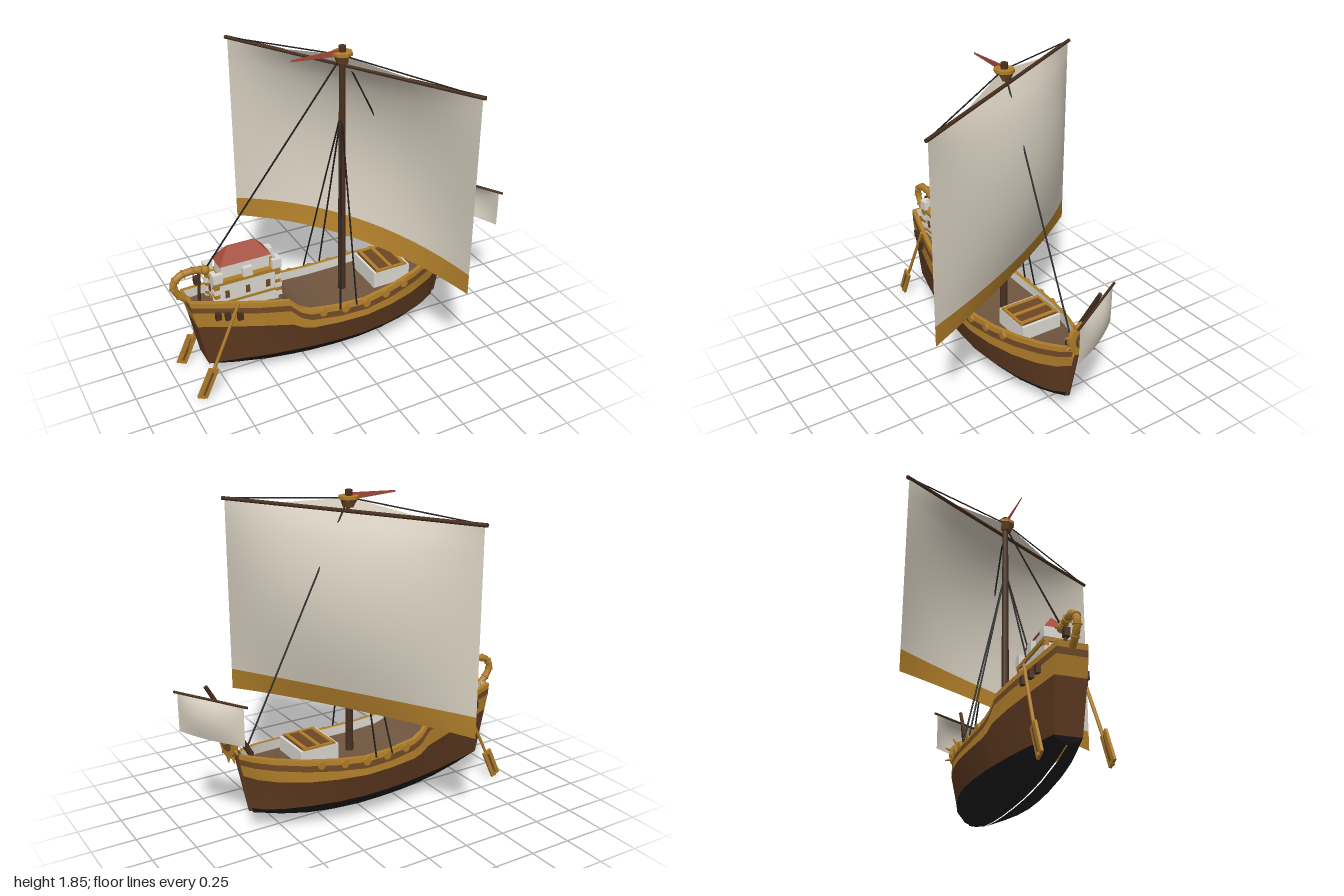
import * as THREE from 'three';
import { toCreasedNormals } from 'three/addons/utils/BufferGeometryUtils.js';

const V = (x, y, z) => new THREE.Vector3(x, y, z);
const mat = (name, color, side = THREE.FrontSide) =>
  Object.assign(new THREE.MeshStandardMaterial({ color, side }), { name });

export function createModel() {
  const D = THREE.DoubleSide;
  const gold = mat('gold wood', 0xb07e2a, D), hullBrown = mat('hull brown', 0x5f3a20),
    dark = mat('dark wood', 0x49301f), black = mat('tar black', 0x1e1e1e),
    deckMat = mat('deck planks', 0x705640, D), canvas = mat('canvas', 0xd6cebf, D),
    white = mat('white wall', 0xdcd9d0, D), red = mat('red', 0xa64a3a, D), trim = mat('trim brown', 0x6f4724);
  const ship = new THREE.Group();
  ship.name = 'sailingShip';

  const add = (name, geo, m, x = 0, y = 0, z = 0) => {
    const mesh = new THREE.Mesh(geo, m);
    mesh.name = name;
    mesh.position.set(x, y, z);
    ship.add(mesh);
    return mesh;
  };
  const box = (name, m, x, y, z, w, h, d) => add(name, new THREE.BoxGeometry(w, h, d), m, x, y, z);
  // Round bar between two points
  const bar = (name, m, a, b, r0, r1 = r0, sides = 8) => {
    const dir = b.clone().sub(a);
    const mesh = add(name, new THREE.CylinderGeometry(r1, r0, dir.length(), sides), m);
    mesh.position.copy(a).add(b).multiplyScalar(0.5);
    mesh.quaternion.setFromUnitVectors(V(0, 1, 0), dir.normalize());
    return mesh;
  };
  // Surface through rows of points
  const loft = (name, m, rows, closed = false) => {
    const n = rows[0].length, idx = [];
    for (let i = 0; i < rows.length - 1; i++)
      for (let j = 0; j < (closed ? n : n - 1); j++) {
        const k = (j + 1) % n, a = i * n + j, b = i * n + k, c = a + n, d = b + n;
        idx.push(a, b, c, b, d, c);
      }
    const g = new THREE.BufferGeometry().setFromPoints(rows.flat());
    g.setIndex(idx);
    return add(name, toCreasedNormals(g, 0.6), m);
  };

  // Hull stations, bow to stern: x, rail height, gold lower edge, half width, keel height
  const stations = [
    [0.74, 0.497, 0.363, 0.012, 0.122], [0.68, 0.487, 0.35, 0.075, 0.105], [0.58, 0.47, 0.335, 0.13, 0.08],
    [0.42, 0.445, 0.318, 0.185, 0.048], [0.25, 0.425, 0.31, 0.225, 0.033], [0.07, 0.407, 0.303, 0.245, 0.026],
    [-0.1, 0.41, 0.305, 0.24, 0.025], [-0.27, 0.428, 0.312, 0.225, 0.028], [-0.33, 0.455, 0.325, 0.215, 0.031],
    [-0.39, 0.515, 0.358, 0.205, 0.034], [-0.55, 0.535, 0.383, 0.175, 0.048], [-0.75, 0.565, 0.408, 0.125, 0.08],
    [-0.92, 0.592, 0.43, 0.08, 0.122]];
  const at = (x, k) => {
    const i = Math.max(1, stations.findIndex(s => s[0] <= x)), a = stations[i - 1], b = stations[i];
    return a[k] + (b[k] - a[k]) * (a[0] - x) / (a[0] - b[0]);
  };
  const WATER = 0.157;
  const ring = (sx, sw, y, inset = 0) => {
    const side = stations.map(s => V(s[0] * sx, y(s), Math.max(0.004, s[3] * sw - inset)));
    return [...side, ...side.map(p => V(p.x, p.y, -p.z)).reverse()];
  };
  const railTop = ring(1, 0.97, s => s[1]), stripeTop = ring(0.995, 0.99, s => s[1] - 0.03),
    stripeLow = ring(0.99, 1.01, s => s[1] - 0.065), goldLow = ring(0.965, 1.03, s => s[2]),
    water = ring(0.91, 0.89, () => WATER), bilge = ring(0.9, 0.6, s => s[4] + 0.4 * (WATER - s[4])),
    keel = ring(0.89, 0.01, s => s[4]), railIn = ring(0.985, 0.97, s => s[1], 0.022),
    deckIn = ring(0.985, 0.97, s => s[1] - 0.055, 0.022);
  loft('railSide', gold, [railTop, stripeTop], true);
  loft('hullStripe', trim, [stripeTop, stripeLow], true);
  loft('upperHull', gold, [stripeLow, goldLow], true);
  loft('lowerHull', hullBrown, [goldLow, water], true);
  loft('hullBottom', black, [water, bilge, keel], true);
  loft('railCap', gold, [railIn, railTop], true);
  loft('innerBulwark', white, [deckIn, railIn], true);
  const half = deckIn.slice(0, stations.length);
  loft('deck', deckMat, [half.map(p => V(p.x, p.y, -p.z)), half]);
  bar('stem', hullBrown, V(0.745, 0.5, 0), V(0.67, 0.14, 0), 0.014);

  for (const s of [1, -1]) {
    // Round rail bosses
    for (let i = 0; i < 5; i++) {
      const x = -0.2 + i * 0.134;
      add('railBoss', new THREE.CylinderGeometry(0.024, 0.024, 0.02, 8), gold,
        x, at(x, 1) - 0.025, s * (at(x, 3) * 0.99)).rotation.x = Math.PI / 2;
    }
    // Steering oar and its brackets
    const a = V(-0.67, 0.56, s * 0.15), b = V(-0.92, 0.015, s * 0.175);
    bar('steeringOar', gold, a, b, 0.009);
    const blade = box('oarBlade', gold, -0.884, 0.105, s * 0.172, 0.06, 0.19, 0.014);
    blade.rotation.z = -Math.atan2(0.25, 0.545);
    const slot = box('oarBladeRib', trim, -0.884, 0.105, s * 0.172, 0.012, 0.15, 0.02);
    slot.rotation.z = blade.rotation.z;
    for (const x of [-0.78, -0.73, -0.665])
      box('oarBracket', dark, x, at(x, 1) - 0.075, s * (at(x, 3) + 0.004), 0.03, 0.045, 0.03);
    // Shrouds
    for (const x of [-0.1, 0.005]) bar('shroud', black, V(0.03, 1.48, 0), V(x, 0.39, s * 0.243), 0.005, 0.005, 5);
  }

  // Stern castle
  const cx = -0.583;
  box('castleWall', white, cx, 0.565, 0, 0.36, 0.21, 0.15);
  box('castleBand', gold, cx, 0.665, 0, 0.385, 0.022, 0.172);
  box('castleLowerBand', gold, cx, 0.535, 0, 0.37, 0.014, 0.16);
  box('castleHouse', white, cx, 0.715, 0, 0.28, 0.085, 0.105);
  for (const dx of [-1, 0, 1]) for (const s of [1, -1]) {
    box('battlement', white, cx + dx * 0.172, 0.7, s * 0.076, 0.055, 0.055, 0.026);
    box('castleWindow', trim, cx + dx * 0.12, 0.585, s * 0.0755, 0.024, 0.045, 0.008);
    if (dx) {
      box('battlementEnd', white, cx + dx * 0.187, 0.7, s * 0.06, 0.026, 0.055, 0.055);
      box('castleEndWindow', trim, cx + dx * 0.1805, 0.585, s * 0.03, 0.008, 0.045, 0.024);
      for (let i = 0; i < 6; i++)
        box('cornerBlock', i % 2 ? gold : white, cx + dx * 0.178, 0.505 + i * 0.027, s * 0.072,
          i % 2 ? 0.03 : 0.04, 0.026, i % 2 ? 0.022 : 0.03);
    }
  }
  // Hipped roof: a box whose top is pulled in to a ridge
  const roof = new THREE.BoxGeometry(0.3, 0.085, 0.125).toNonIndexed(), rp = roof.attributes.position;
  for (let i = 0; i < rp.count; i++) if (rp.getY(i) > 0) rp.setXYZ(i, rp.getX(i) * 0.54, rp.getY(i), rp.getZ(i) * 0.06);
  roof.computeVertexNormals();
  add('castleRoof', roof, red, cx, 0.797, 0);

  // Curled stern ornament
  const curl = new THREE.CatmullRomCurve3([V(-0.9, 0.56, 0), V(-0.955, 0.615, 0), V(-0.978, 0.675, 0),
    V(-0.945, 0.725, 0), V(-0.88, 0.74, 0), V(-0.83, 0.735, 0), V(-0.79, 0.725, 0)]);
  add('sternCurl', new THREE.TubeGeometry(curl, 24, 0.02, 8), gold);
  for (let i = 1; i < 7; i++) {
    const r = add('curlRing', new THREE.TorusGeometry(0.021, 0.005, 5, 10), gold);
    r.position.copy(curl.getPoint(i / 7));
    r.quaternion.setFromUnitVectors(V(0, 0, 1), curl.getTangent(i / 7));
  }
  add('curlHead', new THREE.SphereGeometry(0.028, 8, 6), gold, -0.795, 0.725, 0);
  box('curlBlock', dark, -0.845, 0.675, 0, 0.035, 0.045, 0.03);
  bar('curlPost', dark, V(-0.84, 0.53, 0), V(-0.83, 0.73, 0), 0.009);

  // Cargo hatch
  box('hatchFrame', white, 0.3, 0.425, 0, 0.235, 0.1, 0.25);
  box('hatchCover', trim, 0.3, 0.477, 0, 0.2, 0.012, 0.22);
  for (const x of [0.215, 0.3, 0.385]) box('hatchBeam', gold, x, 0.482, 0, 0.02, 0.014, 0.235);
  for (const z of [-0.115, 0.115]) box('hatchEdge', gold, 0.3, 0.48, z, 0.2, 0.012, 0.016);

  // Mast with lookout top
  bar('mast', dark, V(0.035, 0.35, 0), V(0.035, 1.8, 0), 0.023, 0.017, 12);
  bar('lookoutBasket', trim, V(0.035, 1.76, 0), V(0.035, 1.805, 0), 0.034, 0.05);
  bar('lookoutRim', gold, V(0.035, 1.803, 0), V(0.035, 1.82, 0), 0.056);
  bar('mastCap', dark, V(0.035, 1.81, 0), V(0.035, 1.852, 0), 0.02);
  const pennant = new THREE.Shape([[0.02, 1.835], [-0.26, 1.822], [-0.26, 1.812], [0.02, 1.795]].map(p => new THREE.Vector2(...p)));
  add('pennant', new THREE.ShapeGeometry(pennant), red);

  // Square sails, turned with their yards and bellied towards the bow
  const dir = V(0.497, 0, 0.868), nor = V(0.868, 0, -0.497);
  const sailPart = (name, m, c, hw, belly, top, low, v0, v1, rows) => {
    const grid = [];
    for (let i = 0; i <= rows; i++) {
      const row = [];
      for (let j = 0; j <= 16; j++) {
        const u = j / 8 - 1, yLow = low(u), v = v0 + (v1 - v0) * i / rows;
        const b = belly * (1 - u * u) * Math.sin(Math.PI * 0.85 * Math.pow(v, 0.75));
        const p = c.clone().addScaledVector(dir, u * hw).addScaledVector(nor, b);
        p.y = top + (yLow - top) * v;
        row.push(p);
      }
      grid.push(row);
    }
    loft(name, m, grid);
  };
  const yard = (name, c, hw, y, r) => {
    const a = c.clone().addScaledVector(dir, -hw), b = c.clone().addScaledVector(dir, hw);
    a.y = b.y = y;
    bar(name, dark, a, b, r);
    return [a, b];
  };
  const c = V(0.055, 0, 0), low = u => 0.65 - 0.06 * u * u;
  sailPart('mainSail', canvas, c, 0.785, 0.175, 1.735, low, 0, 0.893, 14);
  sailPart('mainSailBand', gold, c, 0.785, 0.175, 1.735, low, 0.893, 1, 3);
  const ends = yard('mainYard', c, 0.8, 1.74, 0.011);
  const apex = V(0.02, 1.805, 0);
  for (const e of ends) bar('yardLift', black, apex, e, 0.004, 0.004, 5);
  const tl = ends[0].clone().lerp(ends[1], 0.2), tr = ends[0].clone().lerp(ends[1], 0.8);
  loft('topSail', canvas, [[tl, tr], [apex, apex.clone().addScaledVector(dir, 0.01)]]);

  // Raked bow spar with small sail
  bar('bowSpar', dark, V(0.655, 0.47, 0), V(0.9, 0.915, 0), 0.017, 0.011);
  const bc = V(0.88, 0, 0);
  sailPart('bowSail', canvas, bc, 0.212, 0.04, 0.835, () => 0.617, 0, 1, 8);
  yard('bowYard', bc, 0.235, 0.838, 0.007);
  bar('bowSheet', black, V(0.88, 0.83, 0), V(0.78, 0.5, 0), 0.004, 0.004, 5);

  // Spiked bow disc
  const disc = V(0.79, 0.59, 0);
  bar('bowDisc', gold, V(0.775, 0.59, 0), V(0.8, 0.59, 0), 0.1, 0.1, 12);
  bar('bowDiscCentre', trim, V(0.77, 0.59, 0), V(0.806, 0.59, 0), 0.07, 0.06, 12);
  bar('bowDiscBoss', gold, V(0.765, 0.59, 0), V(0.815, 0.59, 0), 0.035, 0.025, 8);
  for (let i = 0; i < 10; i++) {
    const t = i * Math.PI / 5, o = V(0, Math.cos(t), Math.sin(t));
    bar('bowDiscSpike', gold, disc.clone().addScaledVector(o, 0.09), disc.clone().addScaledVector(o, 0.13), 0.011, 0.004, 6);
  }
  bar('bowDiscArm', trim, V(0.72, 0.47, 0), V(0.785, 0.57, 0), 0.016);

  // Fore and back stays
  bar('backStay', black, V(0.02, 1.78, 0), V(-0.785, 0.74, 0), 0.005, 0.005, 5);
  bar('foreStay', black, V(0.06, 1.765, 0), V(0.69, 0.5, 0), 0.005, 0.005, 5);
  return ship;
}
